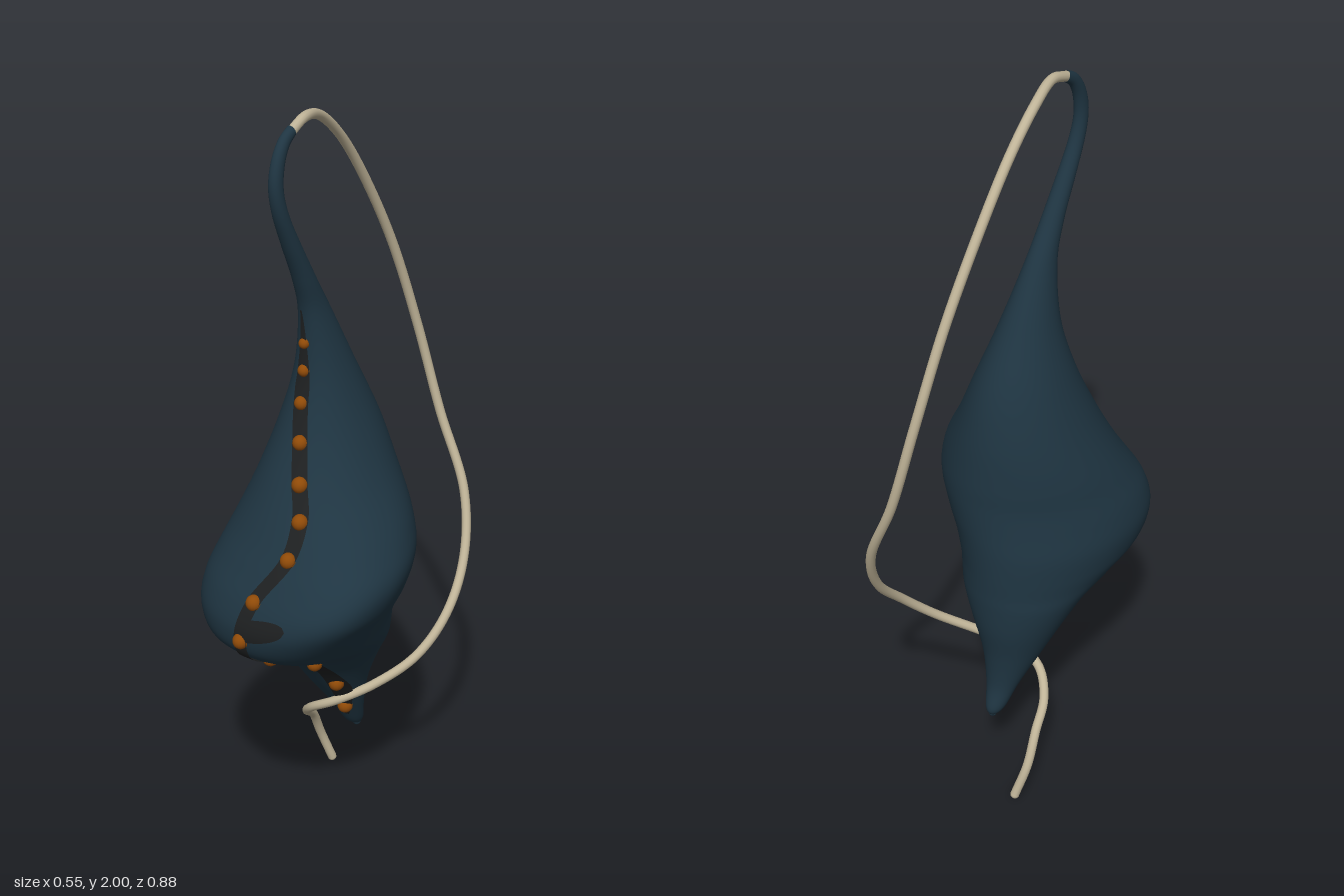
import * as THREE from 'three';

// Pod cross-sections: y, frontZ, backZ, xMin, xMax
const SECTIONS = [
  [0.205, -0.105, -0.125, -0.075, -0.055],
  [0.23, -0.075, -0.134, -0.093, -0.042],
  [0.3, -0.03, -0.118, -0.112, -0.02],
  [0.4, 0.045, -0.12, -0.15, 0.012],
  [0.5, 0.12, -0.135, -0.19, 0.06],
  [0.58, 0.2, -0.14, -0.222, 0.112],
  [0.63, 0.31, -0.14, -0.243, 0.145],
  [0.68, 0.4, -0.14, -0.263, 0.175],
  [0.75, 0.425, -0.14, -0.275, 0.22],
  [0.82, 0.41, -0.14, -0.267, 0.262],
  [0.89, 0.368, -0.14, -0.248, 0.272],
  [0.96, 0.32, -0.138, -0.228, 0.235],
  [1.08, 0.248, -0.125, -0.188, 0.148],
  [1.21, 0.185, -0.092, -0.146, 0.085],
  [1.35, 0.145, -0.025, -0.102, 0.037],
  [1.5, 0.145, 0.052, -0.07, 0.004],
  [1.6, 0.175, 0.112, -0.057, -0.003],
  [1.7, 0.219, 0.167, -0.051, -0.006],
  [1.79, 0.255, 0.209, -0.047, -0.009],
  [1.86, 0.266, 0.227, -0.046, -0.012],
  [1.92, 0.252, 0.222, -0.046, -0.015],
  [1.963, 0.222, 0.202, -0.047, -0.019],
  [1.985, 0.185, 0.175, -0.048, -0.022],
];
const FULLNESS = 0.92; // below 1 squares off the front half of each section

// Smoothly blended section at index t
function section(t) {
  const n = SECTIONS.length - 1;
  const i = Math.min(Math.floor(t), n - 1), f = t - i;
  const [a, b, c, d] = [i - 1, i, i + 1, i + 2].map(k => SECTIONS[Math.max(0, Math.min(n, k))]);
  return b.map((v, k) => v + 0.5 * f * (c[k] - a[k]
    + f * (2 * a[k] - 5 * v + 4 * c[k] - d[k] + f * (3 * (v - c[k]) + d[k] - a[k]))));
}

const signedPow = (v, e) => Math.sign(v) * Math.abs(v) ** e;

// Point on the pod skin: the bulge is skewed and the neck's sections tilt as it curls
function skin(t, angle) {
  const [y, zf, zb, x0, x1] = section(t);
  const power = Math.sin(angle) > 0 ? FULLNESS : 1;
  const s = (1 + signedPow(Math.sin(angle), power)) / 2;
  const dx = signedPow(Math.cos(angle), power) * (x1 - x0) / 2;
  const skew = Math.exp(-(((y - 0.83) / 0.2) ** 2)) * (0.13 * dx + 0.9 * dx * dx);
  const drop = 0.027 * THREE.MathUtils.smoothstep(y, 1.6, 1.98);
  return new THREE.Vector3((x0 + x1) / 2 + dx, y - drop * (1 - s), zb + (zf - zb) * s + skew);
}

// Point on the front of the pod at x, y, lifted along the surface normal
function onFront(x, y, lift) {
  let lo = 0, hi = 16;
  for (let i = 0; i < 30; i++) {
    const mid = (lo + hi) / 2;
    if (section(mid)[0] < y) lo = mid; else hi = mid;
  }
  const [, , , x0, x1] = section(lo);
  const c = THREE.MathUtils.clamp((2 * x - x0 - x1) / (x1 - x0), -0.95, 0.95);
  const a = Math.acos(signedPow(c, 1 / FULLNESS));
  const p = skin(lo, a), e = 0.02;
  const du = skin(lo + e, a).sub(p), dv = skin(lo, a + e).sub(p);
  return p.addScaledVector(du.cross(dv).normalize(), lift);
}

// Grid surface from a point function; optionally closed around
function gridGeometry(rows, cols, point, closed) {
  const pos = [], idx = [], w = closed ? cols : cols + 1;
  for (let i = 0; i <= rows; i++)
    for (let j = 0; j < w; j++) pos.push(...point(i / rows, j / cols).toArray());
  for (let i = 0; i < rows; i++)
    for (let j = 0; j < cols; j++) {
      const a = i * w + j, b = i * w + (j + 1) % w;
      idx.push(a, a + w, b, b, a + w, b + w);
    }
  const g = new THREE.BufferGeometry();
  g.setAttribute('position', new THREE.Float32BufferAttribute(pos, 3));
  g.setIndex(idx);
  g.computeVertexNormals();
  return g;
}

export function createModel() {
  const group = new THREE.Group();
  const material = (name, color, side = THREE.FrontSide) => {
    const m = new THREE.MeshStandardMaterial({ color, side });
    m.name = name;
    return m;
  };
  const blue = material('deep blue skin', 0x1f3542);
  const dark = material('dark seam', 0x1e2021, THREE.DoubleSide);
  const amber = material('amber bead', 0x8f4a08);
  const beige = material('beige tendril', 0xc0b498);
  const add = (name, geometry, mat, parent = group) => {
    const m = new THREE.Mesh(geometry, mat);
    m.name = name;
    parent.add(m);
    return m;
  };

  // Pod with its curled neck and rounded lower tip
  const last = SECTIONS.length - 1;
  add('podBody', gridGeometry(144, 64, (u, v) => skin(u * last, v * Math.PI * 2), true), blue);
  add('podTip', new THREE.SphereGeometry(0.011, 16, 10), blue).position.set(-0.065, 0.206, -0.115);

  // Seam strip winding down the front
  const beads = [
    [-0.035, 1.43], [-0.034, 1.36], [-0.03, 1.28], [-0.01, 1.19], [0.02, 1.1], [0.053, 1.025],
    [0.06, 0.945], [0.005, 0.84], [-0.02, 0.735], [-0.02, 0.63], [-0.006, 0.54], [-0.01, 0.43], [-0.04, 0.31],
  ];
  const seam = new THREE.CatmullRomCurve3(
    [[-0.035, 1.52], ...beads, [-0.05, 0.27]].map(([x, y]) => new THREE.Vector3(x, y, 0)));
  add('seamStrip', gridGeometry(160, 6, (u, v) => {
    const p = seam.getPoint(u);
    const half = 0.021 * Math.min(1, 0.1 + u * 5, 0.2 + (1 - u) * 6);
    return onFront(p.x + (0.5 - v) * 2 * half, p.y, 0.004);
  }, false), dark);

  // Small dark leaf mark beside the seam
  add('leafMark', gridGeometry(12, 16, (u, v) => {
    const half = 0.03 * Math.sqrt(1 - v ** 3);
    return onFront(-0.01 + v * 0.125, 0.765 + v * 0.038 + (0.5 - u) * 2 * half, 0.003);
  }, false), dark);

  // Beads half sunk along the seam
  const beadGroup = new THREE.Group();
  beadGroup.name = 'beads';
  group.add(beadGroup);
  beads.forEach(([x, y], i) => {
    const r = Math.min(0.021, 0.014 + i * 0.002);
    add('bead', new THREE.SphereGeometry(r, 16, 12), amber, beadGroup).position.copy(onFront(x, y, 0));
  });

  // Tendril looping from the neck, behind the pod and around its foot
  const path = new THREE.CatmullRomCurve3([
    [-0.035, 1.97, 0.182], [-0.045, 1.987, 0.12], [-0.075, 1.965, 0.025], [-0.096, 1.885, -0.085],
    [-0.106, 1.75, -0.195], [-0.1, 1.54, -0.312], [-0.075, 1.29, -0.395], [-0.02, 1.05, -0.425],
    [0.075, 0.84, -0.41], [0.125, 0.68, -0.34], [0.142, 0.56, -0.235], [0.112, 0.465, -0.14],
    [0.04, 0.395, -0.05], [-0.04, 0.347, 0.015], [-0.11, 0.305, 0.022], [-0.165, 0.25, -0.02],
    [-0.193, 0.195, -0.085], [-0.204, 0.11, -0.13], [-0.188, 0.014, -0.163],
  ].map(p => new THREE.Vector3(...p)));
  add('tendril', new THREE.TubeGeometry(path, 240, 0.0125, 12, false), beige);
  for (const end of [0, 1])
    add('tendrilEnd', new THREE.SphereGeometry(0.0125, 12, 8), beige).position.copy(path.getPoint(end));

  return group;
}
